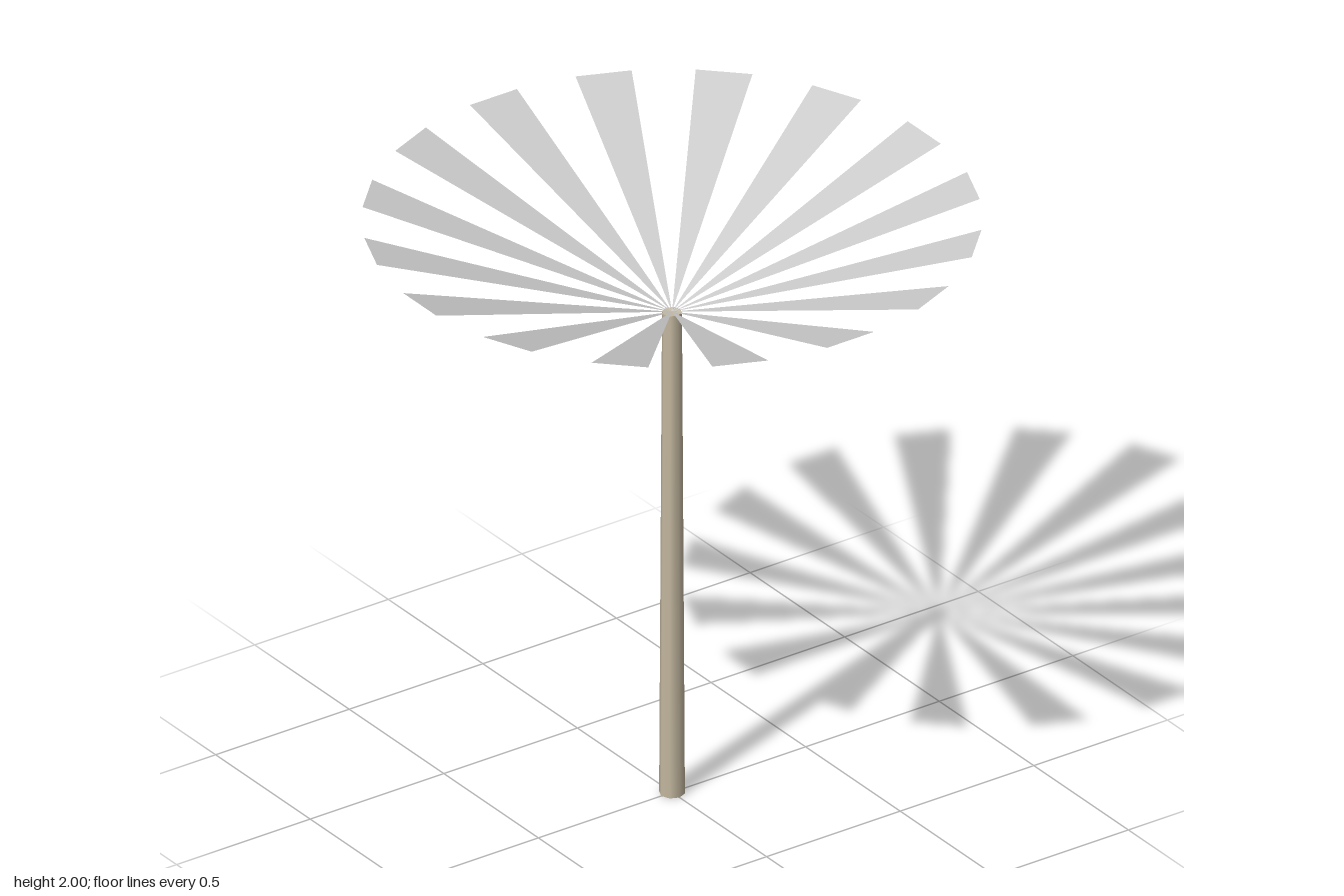
import * as THREE from 'three';

export function createModel() {
  const model = new THREE.Group();
  const trunkMat = new THREE.MeshStandardMaterial({ color: 0xc4b8a0 });
  trunkMat.name = 'tan wood';
  const bladeMat = new THREE.MeshStandardMaterial({ color: 0xcccccc, side: THREE.DoubleSide });
  bladeMat.name = 'light grey';

  const hubY = 1.675, rimY = 2, reach = 0.944, halfWidth = 0.088, count = 16;

  // Slightly tapered post
  const post = new THREE.Mesh(new THREE.CylinderGeometry(0.031, 0.04, hubY, 8), trunkMat);
  post.name = 'post';
  post.position.y = hubY / 2;
  model.add(post);

  // One thin triangular blade rising from the hub to the rim
  const bladeGeo = new THREE.BufferGeometry();
  bladeGeo.setAttribute('position', new THREE.Float32BufferAttribute([
    0, hubY, 0,
    -halfWidth, rimY, reach,
    halfWidth, rimY, reach,
  ], 3));
  bladeGeo.computeVertexNormals();

  // Ring of blades forming an open, shallow cone
  const canopy = new THREE.Group();
  canopy.name = 'canopy';
  for (let i = 0; i < count; i++) {
    const blade = new THREE.Mesh(bladeGeo, bladeMat);
    blade.name = 'blade';
    blade.rotation.y = (i / count) * Math.PI * 2;
    canopy.add(blade);
  }
  model.add(canopy);
  return model;
}
